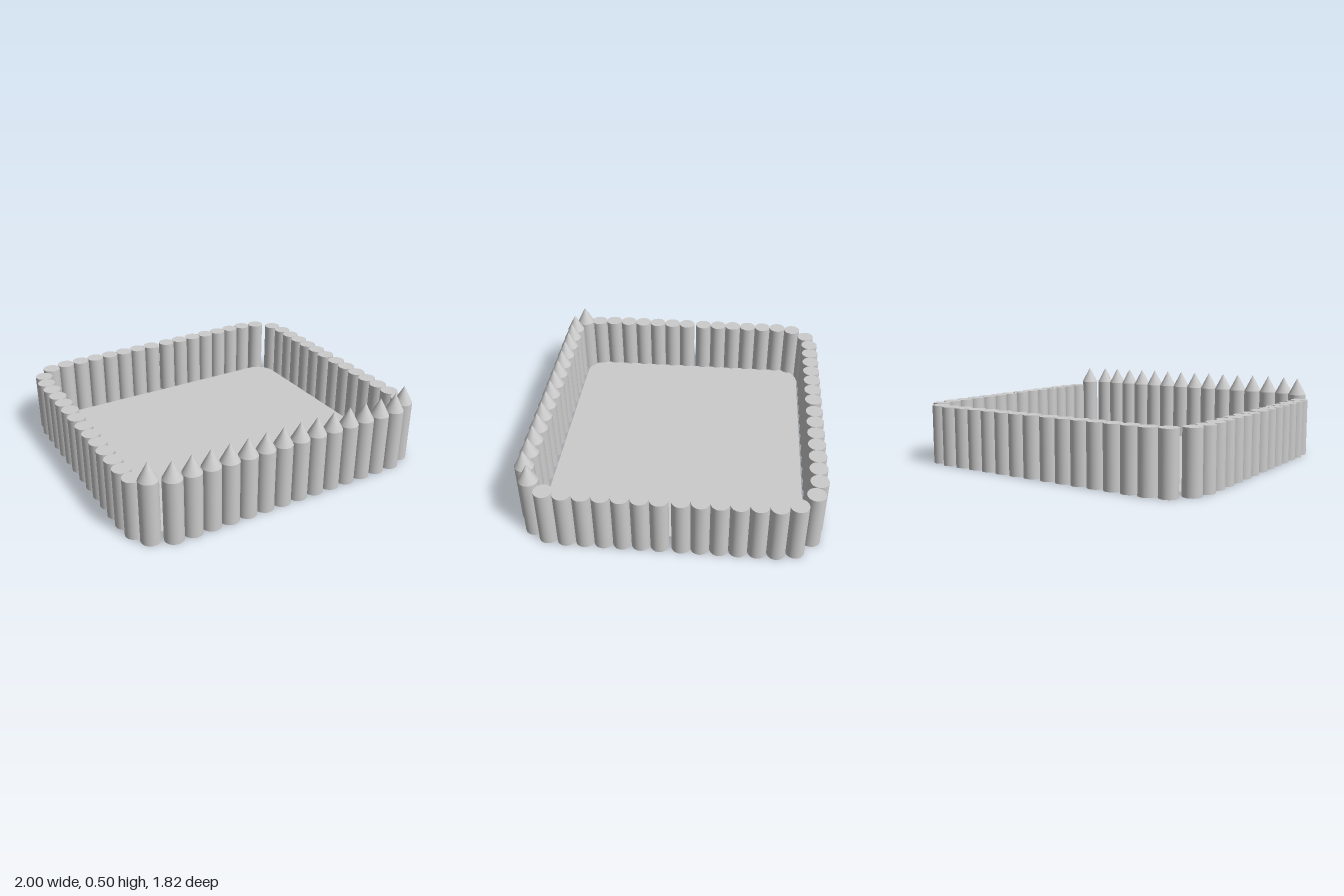
import * as THREE from 'three';

export function createModel() {
  const group = new THREE.Group();
  group.name = 'palisadeEnclosure';
  const material = new THREE.MeshStandardMaterial({ color: 0xcccccc });

  function add(parent, name, geometry, x, y, z) {
    const mesh = new THREE.Mesh(geometry, material);
    mesh.name = name;
    mesh.position.set(x, y, z);
    parent.add(mesh);
  }

  function section(name) {
    const g = new THREE.Group();
    g.name = name;
    group.add(g);
    return g;
  }

  // Floor slab with rounded corners
  const x0 = -0.9, x1 = 0.89, z0 = -0.795, z1 = 0.785, r = 0.13;
  const slab = new THREE.Shape();
  slab.absarc(x1 - r, -z0 - r, r, 0, Math.PI / 2);
  slab.absarc(x0 + r, -z0 - r, r, Math.PI / 2, Math.PI);
  slab.absarc(x0 + r, -z1 + r, r, Math.PI, Math.PI * 1.5);
  slab.absarc(x1 - r, -z1 + r, r, Math.PI * 1.5, Math.PI * 2);
  const floor = new THREE.ExtrudeGeometry(slab, { depth: 0.02, bevelEnabled: false, curveSegments: 12 });
  floor.rotateX(-Math.PI / 2);
  add(group, 'floor', floor, 0, 0, 0);

  // Flat-topped logs
  const logHeight = 0.367;
  const logGeometry = new THREE.CylinderGeometry(0.055, 0.055, logHeight, 32);
  const log = (parent, x, z) => add(parent, 'log', logGeometry, x, logHeight / 2, z);

  // Back wall: two runs of seven with a narrow gap between them
  const back = section('backWall');
  for (const start of [-0.728, 0.056]) {
    for (let i = 0; i < 7; i++) log(back, start + i * 0.11, -0.857);
  }

  // Side walls: two runs of six each, again with a gap
  for (const side of [-1, 1]) {
    const wall = section(side > 0 ? 'leftWall' : 'rightWall');
    for (const start of [-0.63, 0.043]) {
      for (let i = 0; i < 6; i++) log(wall, side * 0.945, start + i * 0.11);
    }
    // Logs rounding the corners
    log(wall, side * 0.935, 0.703);
    log(wall, side * 0.925, -0.738);
    log(wall, side * 0.833 - 0.006, -0.834);
  }

  // Front wall: pointed stakes, the two end ones set back
  const front = section('frontWall');
  const stakeRadius = 0.058, shoulder = 0.39, tip = 0.11;
  const shaft = new THREE.CylinderGeometry(stakeRadius, stakeRadius, shoulder, 32);
  const point = new THREE.ConeGeometry(stakeRadius, tip, 32, 1, true);
  for (let i = 0; i < 16; i++) {
    const x = -0.882 + i * 0.117;
    const z = i === 0 || i === 15 ? 0.797 : 0.849;
    add(front, 'stakeShaft', shaft, x, shoulder / 2, z);
    add(front, 'stakePoint', point, x, shoulder + tip / 2, z);
  }
  return group;
}
